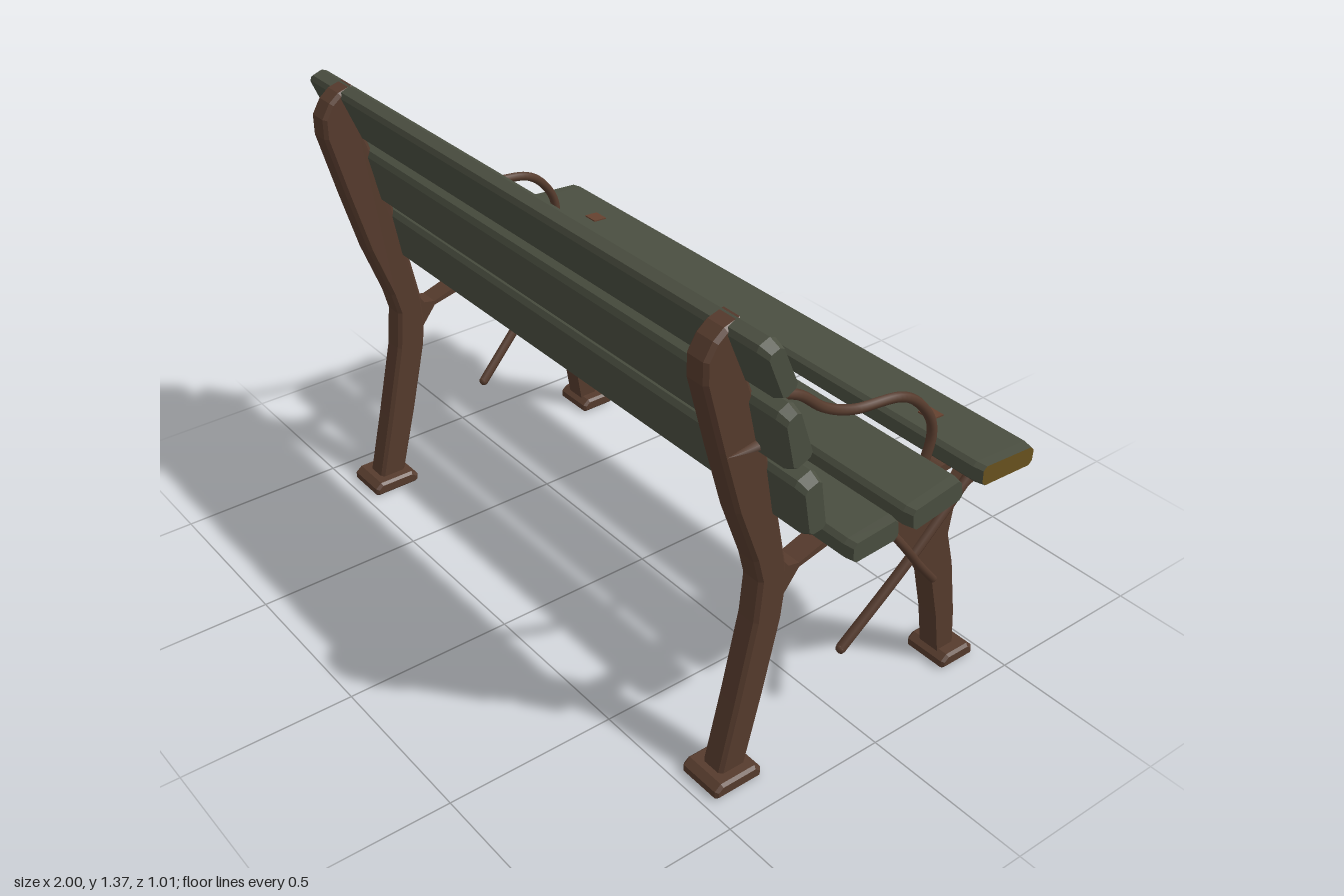
import * as THREE from 'three';

const mat = (name, color) => Object.assign(new THREE.MeshStandardMaterial({ color }), { name });

export function createModel() {
  const bench = new THREE.Group();
  bench.name = 'bench';
  const green = mat('weathered green paint', 0x4a4e40);
  const ochre = mat('bare ochre wood', 0x69521e);
  const iron = mat('brown iron', 0x563b2d);
  const rust = mat('rust', 0x65412f);

  const add = (name, geo, material) => {
    const m = new THREE.Mesh(geo, material);
    m.name = name;
    bench.add(m);
    return m;
  };

  // Side profile in [z, y], extruded across x and centred on x = cx
  const plate = (pts, cx, width, bevel = 0, hole = null) => {
    const toV = ([z, y]) => new THREE.Vector2(-z, y);
    const shape = new THREE.Shape(pts.map(toV));
    if (hole) shape.holes.push(new THREE.Path(hole.map(toV)));
    const geo = new THREE.ExtrudeGeometry(shape, {
      depth: width - 2 * bevel, bevelEnabled: bevel > 0, bevelSize: bevel,
      bevelThickness: bevel, bevelOffset: -bevel, bevelSegments: 1,
    });
    return geo.translate(0, 0, bevel - width / 2).rotateY(Math.PI / 2).translate(cx, 0, 0);
  };

  // Round bar through [x, y, z] points, x mirrored by s, with closed ends
  const bar = (name, pts, s, radius, segments) => {
    const v = pts.map(([x, y, z]) => new THREE.Vector3(x * s, y, z));
    const curve = new THREE.CatmullRomCurve3(v);
    add(name, new THREE.TubeGeometry(curve, segments, radius, 7), iron);
    for (const p of [v[0], v[v.length - 1]]) {
      add(name + 'End', new THREE.SphereGeometry(radius, 7, 5), iron).position.copy(p);
    }
  };

  // Plank lofted along x from a chamfered four-corner section.
  // Corners run bottom back, bottom front, top front, top back.
  const plank = (name, corners, half, endScale, ochreEnd) => {
    const c = corners.map(([z, y]) => new THREE.Vector2(z, y));
    const mid = c.reduce((a, p) => a.add(p), new THREE.Vector2()).multiplyScalar(0.25);
    const ring = c.flatMap((p, k) => [c[(k + 3) % 4], c[(k + 1) % 4]].map(
      (q) => p.clone().add(q.clone().sub(p).setLength(0.012))));
    const rings = [[-half, endScale], [-half + 0.03, 1], [half - 0.03, 1], [half, endScale]]
      .map(([x, k]) => ring.map((p) => {
        const q = p.clone().sub(mid).multiplyScalar(k).add(mid);
        return [x, q.y, q.x];
      }));
    const painted = [], bare = [];
    for (let i = 0; i < 3; i++) {
      for (let j = 0; j < 8; j++) {
        const n = (j + 1) % 8;
        const a = rings[i][j], b = rings[i][n], d = rings[i + 1][j], e = rings[i + 1][n];
        (j === 1 ? bare : painted).push(...a, ...b, ...d, ...b, ...e, ...d);
      }
    }
    for (let k = 1; k < 7; k++) {
      painted.push(...rings[0][0], ...rings[0][k + 1], ...rings[0][k]);
      (ochreEnd ? bare : painted).push(...rings[3][0], ...rings[3][k], ...rings[3][k + 1]);
    }
    const geo = new THREE.BufferGeometry();
    geo.setAttribute('position', new THREE.Float32BufferAttribute([...painted, ...bare], 3));
    geo.addGroup(0, painted.length / 3, 0);
    geo.addGroup(painted.length / 3, bare.length / 3, 1);
    geo.computeVertexNormals();
    add(name, geo, [green, ochre]);
  };

  // Seat
  plank('frontSeatSlat', [[-0.3, 0.685], [-0.5, 0.677], [-0.503, 0.735], [-0.3, 0.747]], 1, 0.93, true);
  plank('middleSeatSlat', [[-0.072, 0.641], [-0.256, 0.67], [-0.245, 0.735], [-0.065, 0.706]], 0.99, 0.93, false);
  plank('rearSeatSlat', [[0.127, 0.632], [-0.036, 0.641], [-0.032, 0.706], [0.127, 0.692]], 0.985, 0.93, false);
  // Backrest
  plank('topBackSlat', [[0.387, 1.192], [0.336, 1.221], [0.4, 1.368], [0.452, 1.348]], 1, 0.8, false);
  plank('middleBackSlat', [[0.344, 0.986], [0.275, 1.014], [0.333, 1.177], [0.382, 1.152]], 0.995, 0.82, false);
  plank('lowerBackSlat', [[0.289, 0.786], [0.228, 0.793], [0.257, 0.967], [0.318, 0.946]], 1, 0.82, false);

  const postProfile = [
    [0.405, 1.365], [0.45, 1.352], [0.48, 1.328], [0.506, 1.285], [0.506, 1.225], [0.452, 1.025],
    [0.398, 0.837], [0.336, 0.67], [0.318, 0.6], [0.329, 0.48], [0.38, 0.246], [0.43, 0.03],
    [0.344, 0.03], [0.289, 0.246], [0.239, 0.464], [0.229, 0.55], [0.235, 0.63], [0.268, 0.79],
    [0.31, 0.97], [0.36, 1.15], [0.395, 1.25],
  ];
  const legProfile = [
    [0.27, 0.67], [0.225, 0.61], [0.19, 0.603], [0.1, 0.632], [-0.01, 0.64], [-0.07, 0.645],
    [-0.25, 0.672], [-0.3, 0.685], [-0.495, 0.678], [-0.495, 0.63], [-0.488, 0.605], [-0.409, 0.572],
    [-0.362, 0.525], [-0.351, 0.445], [-0.38, 0.337], [-0.409, 0.156], [-0.42, 0.03], [-0.362, 0.03],
    [-0.34, 0.17], [-0.307, 0.31], [-0.25, 0.4], [-0.19, 0.49], [-0.14, 0.547], [-0.083, 0.59],
    [0, 0.612], [0.08, 0.616], [0.19, 0.59], [0.225, 0.545], [0.26, 0.5],
  ];
  const legOpening = [[-0.25, 0.652], [-0.345, 0.665], [-0.275, 0.54], [-0.25, 0.535]];

  for (const s of [1, -1]) {
    const x = 0.838 * s;
    add('backPost', plate(postProfile, x, 0.075, 0.01), iron);
    add('frontLeg', plate(legProfile, x, 0.066, 0, legOpening), iron);

    // Feet
    for (const [z0, z1] of [[0.315, 0.467], [-0.467, -0.347]]) {
      const foot = [[z1, 0.006], [z1, 0.026], [z1 - 0.02, 0.042], [z0 + 0.02, 0.042],
        [z0, 0.026], [z0, 0.006], [z0 + 0.008, 0], [z1 - 0.008, 0]];
      add('foot', plate(foot, x, 0.14, 0.008), iron);
    }

    // Curved armrest and its fixing plate on the backrest
    bar('armrest', [
      [0.81, 1.098, 0.31], [0.812, 1.05, 0.17], [0.815, 0.98, 0.08], [0.818, 0.942, -0.01],
      [0.822, 0.917, -0.174], [0.826, 0.88, -0.235], [0.83, 0.815, -0.282],
      [0.83, 0.754, -0.293], [0.83, 0.67, -0.27],
    ], s, 0.014, 48);
    const fixing = add('armrestFixing', new THREE.BoxGeometry(0.07, 0.06, 0.009), rust);
    fixing.position.set(0.8 * s, 1.095, 0.303);
    fixing.rotation.x = 0.34;

    // Loose diagonal rod and curved brace outside the front leg
    bar('diagonalRod', [[0.85, 0.22, 0], [0.872, 0.42, -0.2], [0.885, 0.63, -0.4]], s, 0.015, 10);
    bar('curvedBrace', [[0.865, 0.59, -0.1], [0.892, 0.51, -0.155], [0.885, 0.41, -0.23],
      [0.865, 0.31, -0.315]], s, 0.012, 16);

    // Pin on the post
    const pin = add('postPin', new THREE.ConeGeometry(0.017, 0.1, 6), iron);
    pin.position.set(0.876 * s, 1.015, 0.39);
    pin.rotation.x = Math.PI / 2;

    // Rust spot on the front seat slat
    const spot = add('rustSpot', new THREE.BoxGeometry(0.05, 0.006, 0.045), rust);
    spot.position.set(0.74 * s, 0.743, -0.385);
    spot.rotation.x = -0.06;
  }
  return bench;
}
